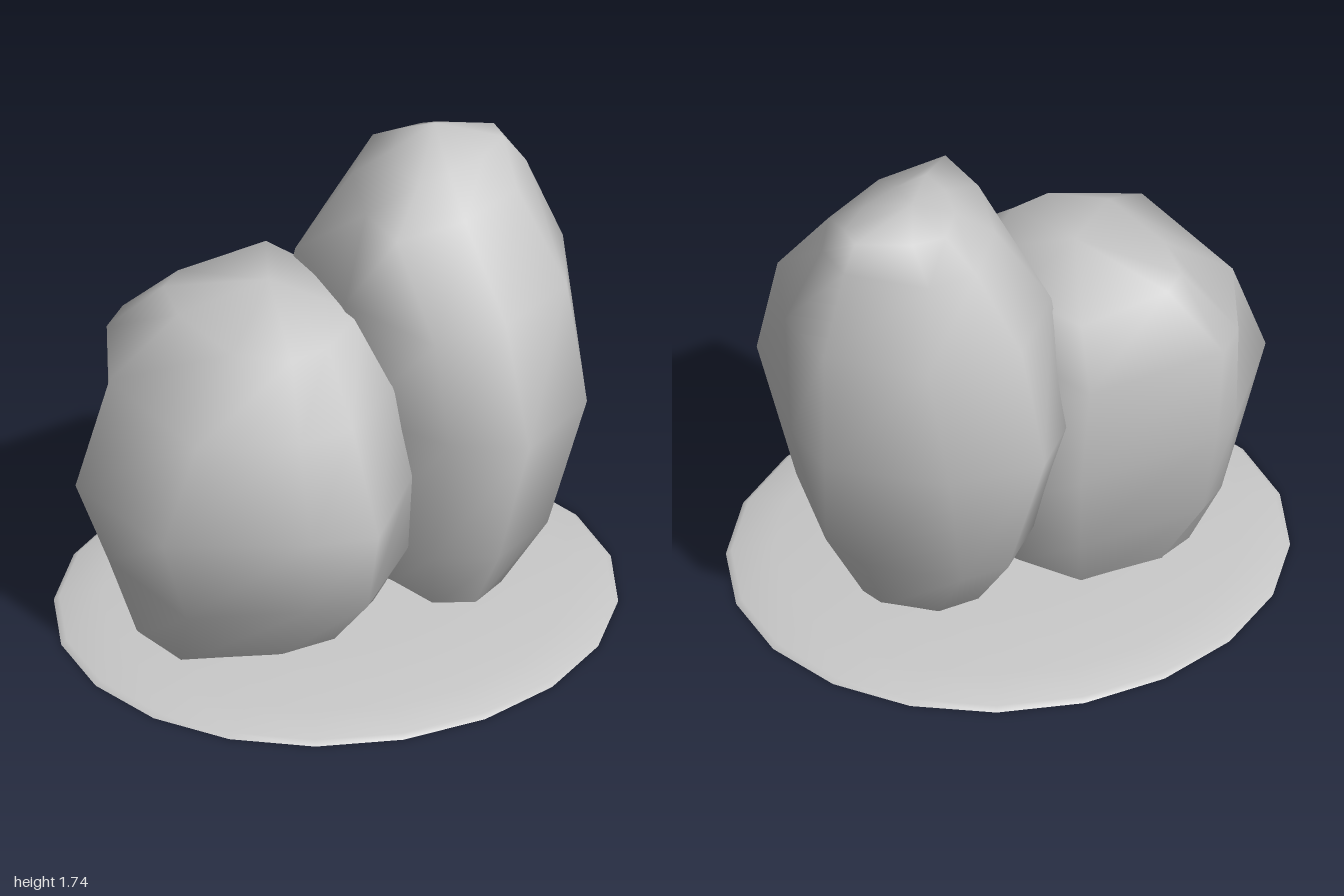
import * as THREE from 'three';

// Lofts rings [height, x, z, x, z, ...] from the ground up and closes them at a peak.
function boulderGeometry(rings, peak) {
  const n = (rings[0].length - 1) / 2;
  const positions = [], index = [];
  for (const [y, ...xz] of rings) {
    for (let i = 0; i < n; i++) positions.push(xz[2 * i], y, xz[2 * i + 1]);
  }
  positions.push(...peak);
  const top = rings.length * n;
  for (let j = 0; j < rings.length; j++) {
    for (let i = 0; i < n; i++) {
      const a = j * n + i, b = j * n + (i + 1) % n;
      if (j === rings.length - 1) index.push(a, top, b);
      else index.push(a, a + n, b, b, a + n, b + n);
    }
  }
  const geometry = new THREE.BufferGeometry();
  geometry.setAttribute('position', new THREE.Float32BufferAttribute(positions, 3));
  geometry.setIndex(index);
  geometry.computeVertexNormals();
  return geometry;
}

export function createModel() {
  const group = new THREE.Group();
  const stone = new THREE.MeshStandardMaterial({ color: 0xc8c8c8 });
  stone.name = 'stone grey';
  const add = (name, geometry) => {
    const mesh = new THREE.Mesh(geometry, stone);
    mesh.name = name;
    group.add(mesh);
    return mesh;
  };

  // Tall egg-like boulder: rings run back, right, front, left
  add('tallBoulder', boulderGeometry([
    [0.03, 0.3, -0.22, 0.45, -0.2, 0.57, -0.05, 0.58, 0.03, 0.48, 0.28, 0.34, 0.34, 0.22, 0.27, 0.18, 0.05, 0.22, -0.15],
    [0.33, 0.32, -0.45, 0.5, -0.42, 0.72, -0.15, 0.74, 0.05, 0.6, 0.42, 0.33, 0.52, 0.14, 0.4, 0.05, 0.1, 0.1, -0.3],
    [0.85, 0.28, -0.61, 0.62, -0.52, 0.91, -0.18, 0.88, 0.06, 0.69, 0.53, 0.35, 0.68, 0.13, 0.51, -0.03, 0.15, 0.04, -0.44],
    [1.27, 0.3, -0.5, 0.64, -0.42, 0.87, -0.12, 0.85, 0.14, 0.68, 0.42, 0.36, 0.52, 0.08, 0.5, -0.03, 0.1, 0.03, -0.3],
    [1.57, 0.4, -0.37, 0.58, -0.34, 0.77, -0.1, 0.75, 0.06, 0.62, 0.2, 0.35, 0.28, 0.08, 0.26, 0.09, 0.05, 0.2, -0.2],
    [1.66, 0.43, -0.23, 0.55, -0.2, 0.71, -0.08, 0.69, 0.01, 0.56, 0.08, 0.4, 0.11, 0.27, 0.11, 0.27, 0, 0.32, -0.13],
  ], [0.47, 1.74, -0.09]));

  // Short, broad boulder leaning against it: rings run left, back, right, front
  add('shortBoulder', boulderGeometry([
    [0.03, -0.72, -0.15, -0.5, -0.36, -0.35, -0.4, -0.06, -0.35, 0.06, -0.1, 0.03, 0.15, -0.2, 0.26, -0.42, 0.24, -0.7, 0.08],
    [0.33, -0.8, -0.22, -0.55, -0.5, -0.42, -0.57, 0.05, -0.5, 0.18, -0.1, 0.12, 0.28, -0.22, 0.53, -0.42, 0.45, -0.79, 0.25],
    [0.65, -0.91, -0.26, -0.57, -0.56, -0.46, -0.6, 0.09, -0.56, 0.2, -0.1, 0.1, 0.33, -0.23, 0.61, -0.45, 0.52, -0.88, 0.24],
    [1.03, -0.77, -0.26, -0.58, -0.56, -0.46, -0.64, 0.06, -0.57, 0.15, -0.1, 0.05, 0.3, -0.25, 0.48, -0.45, 0.45, -0.77, 0.28],
    [1.23, -0.51, -0.22, -0.45, -0.4, -0.35, -0.46, 0.01, -0.45, 0.08, -0.15, 0.02, 0.12, -0.2, 0.25, -0.35, 0.25, -0.5, 0.1],
  ], [-0.2, 1.32, -0.12]));

  // Low domed ground slab with a flat underside
  const profile = [[1, 0], [0.98, 0.015], [0.83, 0.045], [0.45, 0.065], [0, 0.07]]
    .map(([r, y]) => new THREE.Vector2(r, y));
  add('groundSlab', new THREE.LatheGeometry(profile, 20)).scale.z = 0.93;
  add('slabUnderside', new THREE.CircleGeometry(1, 20).rotateX(Math.PI / 2)).scale.z = 0.93;

  return group;
}
